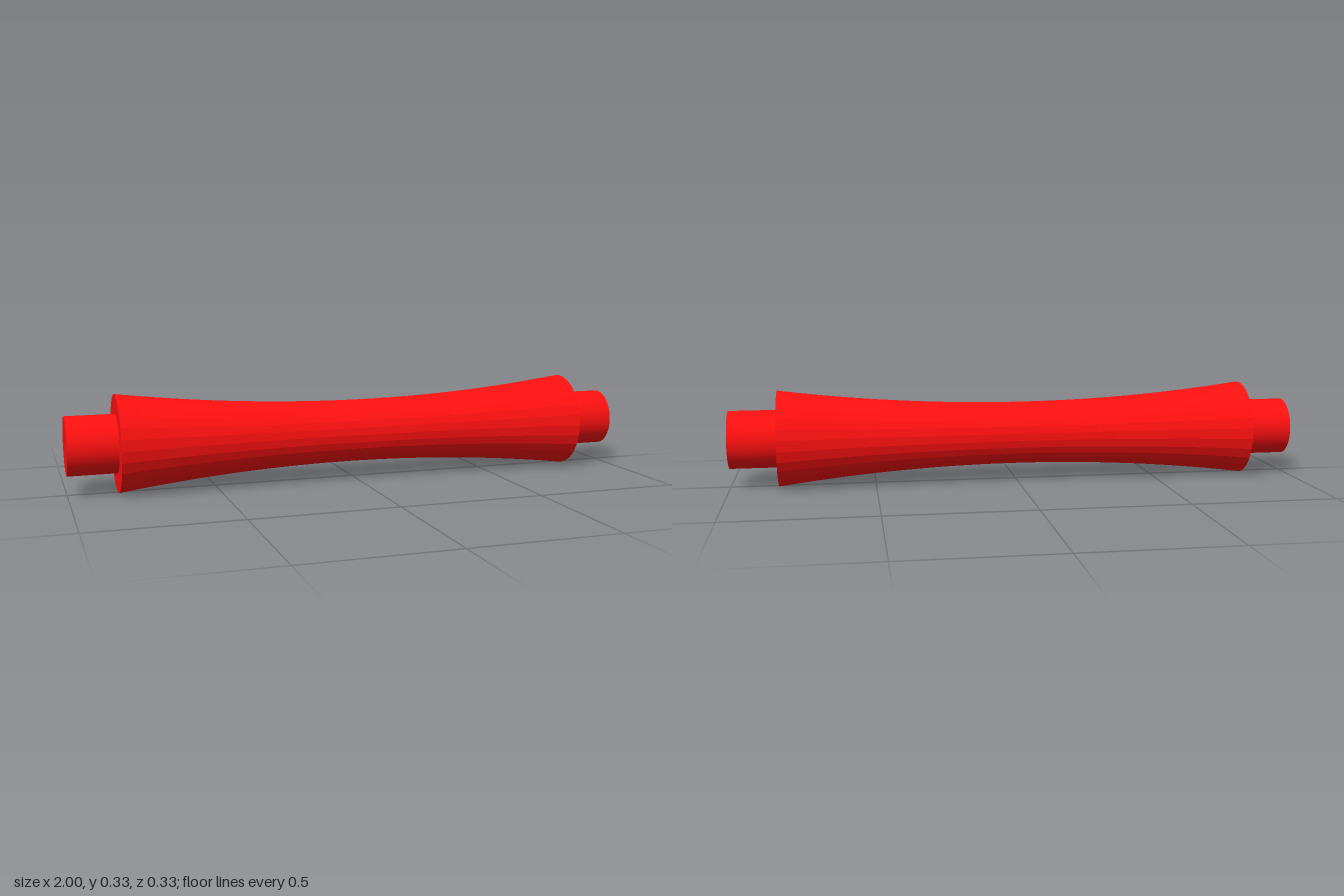
import * as THREE from 'three';

const AXIS_Y = 0.1664;    // height of the roller's axis
const BODY_HALF = 0.833;  // half length of the waisted body
const END_R = 1 / 6, WAIST_R = 0.11, PIN_R = 0.1;

export function createModel() {
  const group = new THREE.Group();
  group.name = 'waistedRoller';
  const faceted = new THREE.MeshStandardMaterial({ color: 0xff1010, flatShading: true });
  const smooth = new THREE.MeshStandardMaterial({ color: 0xff1010 });

  // Waisted body: concave arc profile with flat ends, 27 facets around
  const sag = END_R - WAIST_R;
  const arcR = (BODY_HALF ** 2 + sag ** 2) / (2 * sag);
  const profile = [new THREE.Vector2(0, -BODY_HALF)];
  const steps = 24;
  for (let i = 0; i <= steps; i++) {
    const t = BODY_HALF * (2 * i / steps - 1);
    profile.push(new THREE.Vector2(WAIST_R + arcR - Math.sqrt(arcR ** 2 - t ** 2), t));
  }
  profile.push(new THREE.Vector2(0, BODY_HALF));
  const body = new THREE.Mesh(new THREE.LatheGeometry(profile, 27), faceted);
  body.name = 'body';
  body.rotation.z = -Math.PI / 2;
  body.position.y = AXIS_Y;
  group.add(body);

  // Round pin at each end
  const pinLength = 1 - BODY_HALF;
  for (const side of [1, -1]) {
    const pin = new THREE.Mesh(new THREE.CylinderGeometry(PIN_R, PIN_R, pinLength, 64), smooth);
    pin.name = side > 0 ? 'leftPin' : 'rightPin';
    pin.rotation.z = -Math.PI / 2;
    pin.position.set(side * (BODY_HALF + pinLength / 2), AXIS_Y, 0);
    group.add(pin);
  }
  return group;
}
